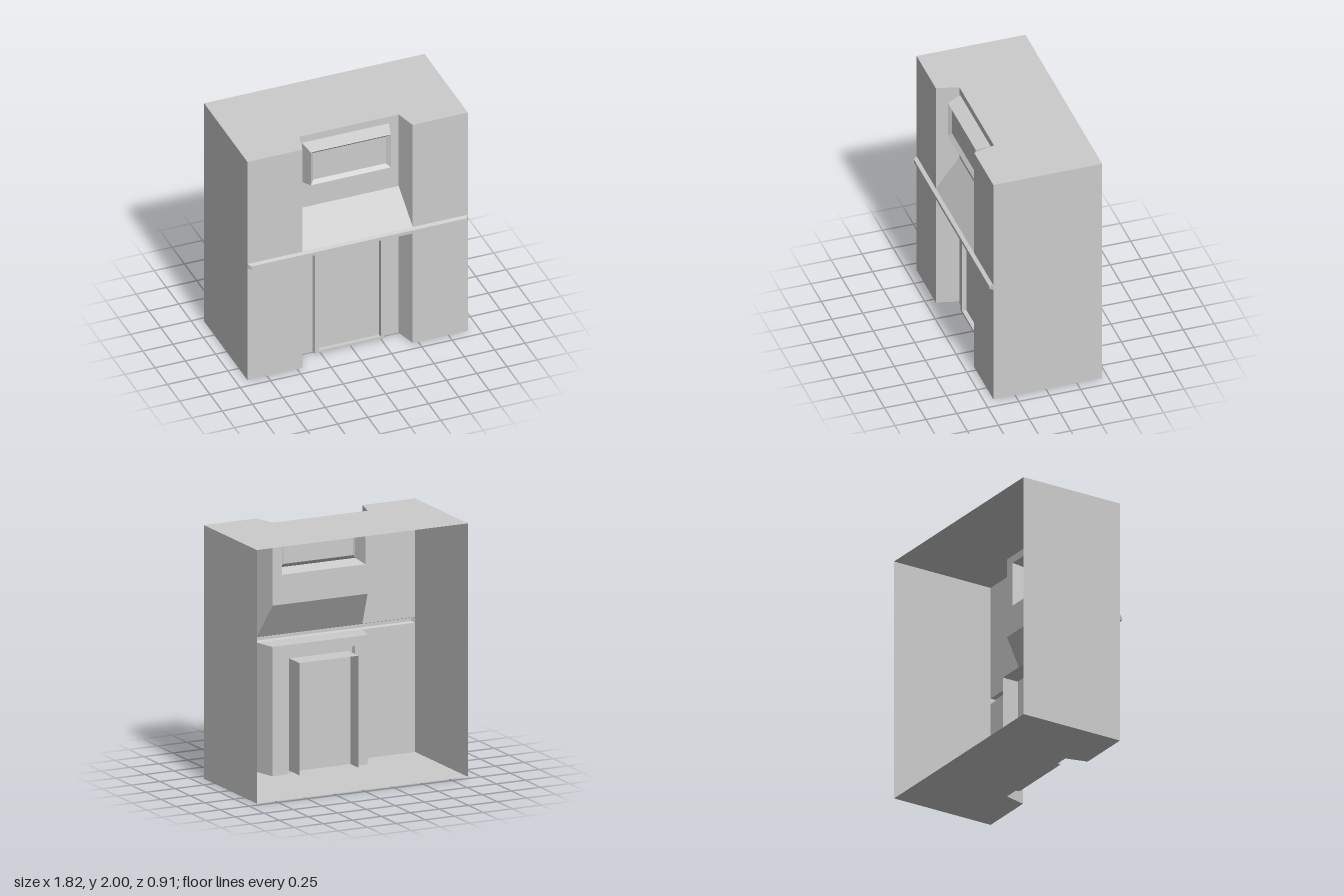
import * as THREE from 'three';

const material = new THREE.MeshStandardMaterial({ color: 0xcccccc, side: THREE.DoubleSide });

const X = 0.91, FRONT = 0.425, BACK = -0.455, TOP = 2;
const RECESS = 0.25, OUT = 0.455, IN = 0.41;   // recess depth and its outer / inner half widths
const LEDGE_LOW = 1.02, LEDGE_HIGH = 1.065, RAMP_TOP = 1.345;

// Corners of an upright rectangle, counter-clockwise seen from the front
const rect = (x0, x1, y0, y1, z) => [[x0, y0, z], [x1, y0, z], [x1, y1, z], [x0, y1, z]];

// Joins matching rows of points with flat-shaded strips
function loft(rows, closed = true) {
  const p = [];
  for (let r = 0; r < rows.length - 1; r++) {
    const a = rows[r], b = rows[r + 1], n = a.length;
    for (let i = 0; i < (closed ? n : n - 1); i++) {
      const j = (i + 1) % n;
      p.push(...a[i], ...a[j], ...b[j], ...a[i], ...b[j], ...b[i]);
    }
  }
  const g = new THREE.BufferGeometry();
  g.setAttribute('position', new THREE.Float32BufferAttribute(p, 3));
  g.computeVertexNormals();
  return g;
}

const quad = (a, b, c, d) => loft([[a, b], [d, c]], false);

function flatShape(points, holes = []) {
  const shape = new THREE.Shape(points.map(([x, y]) => new THREE.Vector2(x, y)));
  for (const h of holes) shape.holes.push(new THREE.Path(h.map(([x, y]) => new THREE.Vector2(x, y))));
  return new THREE.ShapeGeometry(shape);
}

export function createModel() {
  const group = new THREE.Group();
  const add = (name, geometry) => {
    const mesh = new THREE.Mesh(geometry, material);
    mesh.name = name;
    group.add(mesh);
    return mesh;
  };

  // Floor and roof share one notched outline
  const plan = [[-X, -BACK], [-X, -FRONT], [-OUT, -FRONT], [-IN, -RECESS],
    [IN, -RECESS], [OUT, -FRONT], [X, -FRONT], [X, -BACK]];
  add('roof', flatShape(plan).rotateX(-Math.PI / 2).translate(0, TOP, 0));
  const under = plan.map(([x, y]) => [x, -y]);
  add('floor', flatShape(under).rotateX(Math.PI / 2));

  // Side walls, pillars and recess cheeks; the back stays open
  for (const s of [-1, 1]) {
    const side = s < 0 ? 'right' : 'left';
    const face = (name, ...c) => {
      const pts = c.map(([x, y, z]) => [s * x, y, z]);
      add(side + name, quad(...(s < 0 ? pts.reverse() : pts)));
    };
    face('SideWall', [X, 0, FRONT], [X, 0, BACK], [X, TOP, BACK], [X, TOP, FRONT]);
    face('LowerPillar', [OUT, 0, FRONT], [X, 0, FRONT], [X, LEDGE_LOW, FRONT], [OUT, LEDGE_LOW, FRONT]);
    face('UpperPillar', [OUT, LEDGE_HIGH, FRONT], [X, LEDGE_HIGH, FRONT], [X, TOP, FRONT], [OUT, TOP, FRONT]);
    face('LowerCheek', [IN, 0, RECESS], [OUT, 0, FRONT], [OUT, LEDGE_LOW, FRONT], [IN, LEDGE_LOW, RECESS]);
    face('UpperCheek', [IN, RAMP_TOP, RECESS], [OUT, LEDGE_HIGH, FRONT], [OUT, TOP, FRONT], [IN, TOP, RECESS]);
  }

  // Recessed walls, with openings behind the door frame and the sign panel
  add('lowerRecessWall', flatShape([[-IN, 0], [-0.3, 0], [-0.3, 0.945], [0.285, 0.945],
    [0.285, 0], [IN, 0], [IN, LEDGE_LOW], [-IN, LEDGE_LOW]]).translate(0, 0, RECESS));
  add('upperRecessWall', flatShape(rect(-IN, IN, RAMP_TOP, TOP, 0), [rect(-0.39, 0.33, 1.58, 1.94, 0)])
    .translate(0, 0, RECESS));

  // Sloping sill above the ledge, flat soffit below it
  add('ramp', quad([-OUT, LEDGE_HIGH, FRONT], [OUT, LEDGE_HIGH, FRONT], [IN, RAMP_TOP, RECESS], [-IN, RAMP_TOP, RECESS]));
  add('soffit', quad([-IN, LEDGE_LOW, RECESS], [IN, LEDGE_LOW, RECESS], [OUT, LEDGE_LOW, FRONT], [-OUT, LEDGE_LOW, FRONT]));

  // Ledge with chamfered edges
  const nose = rect(-0.89, 0.89, 1.028, 1.055, 0.455);
  add('ledge', loft([rect(-X, X, LEDGE_LOW, LEDGE_HIGH, FRONT), nose]));
  add('ledgeFace', quad(...nose));

  // Tapered panel with a sunken face
  const sunk = rect(-0.33, 0.27, 1.64, 1.885, 0.335);
  add('signFrame', loft([rect(-0.39, 0.33, 1.58, 1.94, RECESS), rect(-0.36, 0.3, 1.61, 1.91, 0.36), sunk]));
  add('signFace', quad(...sunk));

  // Door frame running back into the interior as an open box
  add('doorFrame', loft([rect(-0.3, 0.285, 0, 0.945, RECESS), rect(-0.293, 0.278, 0, 0.938, 0.28),
    rect(-0.26, 0.25, 0.02, 0.905, 0.28), rect(-0.26, 0.25, 0.02, 0.905, 0.11)]));
  add('doorPanel', quad(...rect(-0.26, 0.25, 0.02, 0.905, 0.245)));

  return group;
}
